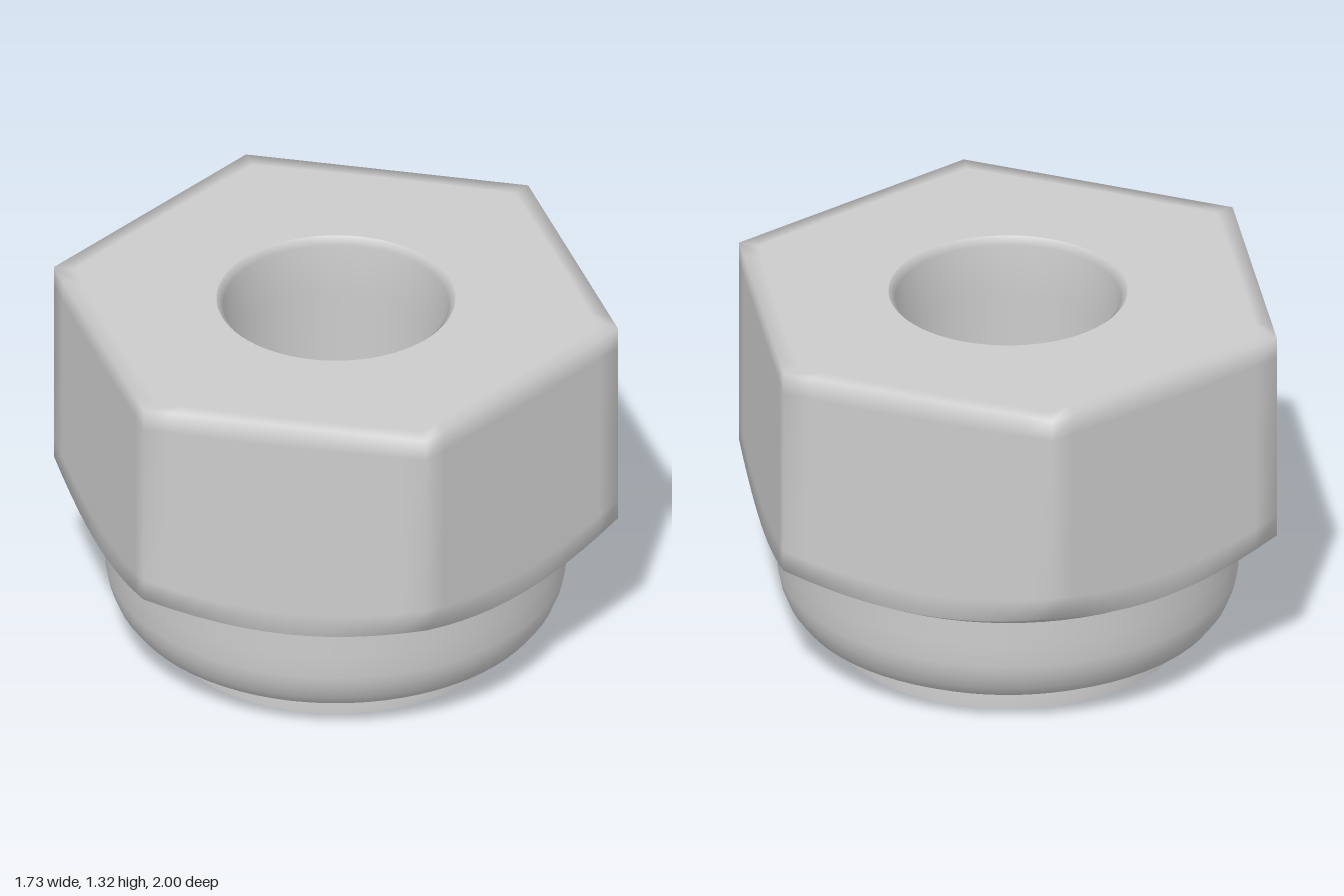
import * as THREE from 'three';

const SEGMENTS = 72;
const APOTHEM = 0.866, TOP = 1.32, BORE = 0.39;
const COLLAR_R = 0.8, COLLAR_TOP = 0.435;

// Radius of the hexagon at an angle measured from +z, with corners on the z axis
const hexRadius = (a) => APOTHEM / Math.cos((a % (Math.PI / 3)) - Math.PI / 6);
// Height of the conical underside of the hexagon at a given radius
const coneY = (r) => COLLAR_TOP + (r - COLLAR_R) * 0.577;

// Skin a series of closed rings; each ring maps an angle to [radius, y]
function skin(name, rings) {
  const pos = [], index = [];
  rings.forEach((ring, i) => {
    for (let j = 0; j < SEGMENTS; j++) {
      const a = (j / SEGMENTS) * Math.PI * 2;
      const [r, y] = ring(a);
      pos.push(r * Math.sin(a), y, r * Math.cos(a));
      if (i === rings.length - 1) continue;
      const k = (j + 1) % SEGMENTS, lo = i * SEGMENTS, hi = lo + SEGMENTS;
      index.push(lo + j, lo + k, hi + k, lo + j, hi + k, hi + j);
    }
  });
  const geo = new THREE.BufferGeometry();
  geo.setAttribute('position', new THREE.Float32BufferAttribute(pos, 3));
  geo.setIndex(index);
  geo.computeVertexNormals();
  const mesh = new THREE.Mesh(geo, new THREE.MeshStandardMaterial({ color: 0xcccccc }));
  mesh.name = name;
  return mesh;
}

const round = (profile) => profile.map(([r, y]) => () => [r, y]);

export function createModel() {
  const group = new THREE.Group();
  group.name = 'lockNut';

  // Hexagon: conical underside, six walls, flat top, softened along its edges
  const under = [0, 0.5, 1].map((t) => (a) => {
    const r = THREE.MathUtils.lerp(COLLAR_R, hexRadius(a), t);
    return [r, coneY(r)];
  });
  const walls = [0.1, 0.5, 0.9, 1].map((t) => (a) => {
    const r = hexRadius(a);
    return [r, THREE.MathUtils.lerp(coneY(r), TOP, t)];
  });
  const top = [0.12, 0.5, 0.88, 1].map((t) => (a) =>
    [THREE.MathUtils.lerp(hexRadius(a), 0.415, t), TOP]);
  group.add(skin('hexBody', [...under, ...walls, ...top]));

  // Rounded collar below the hexagon
  group.add(skin('collar', round([
    [0.6, 0.065], [0.68, 0.092], [0.74, 0.125], [0.77, 0.165],
    [0.79, 0.215], [0.8, 0.265], [0.8, 0.35], [COLLAR_R, COLLAR_TOP],
  ])));

  // Short rim and flat ring at the base
  group.add(skin('baseRing', round([[BORE, 0], [0.45, 0], [0.56, 0], [0.605, 0]])));
  group.add(skin('baseRim', round([[0.605, 0], [0.605, 0.065], [0.6, 0.065]])));

  // Through hole with a slight lead-in at the top
  group.add(skin('bore', round([
    [0.415, TOP], [BORE, TOP - 0.025], [BORE, 1.1], [BORE, 0.2], [BORE, 0],
  ])));

  return group;
}
